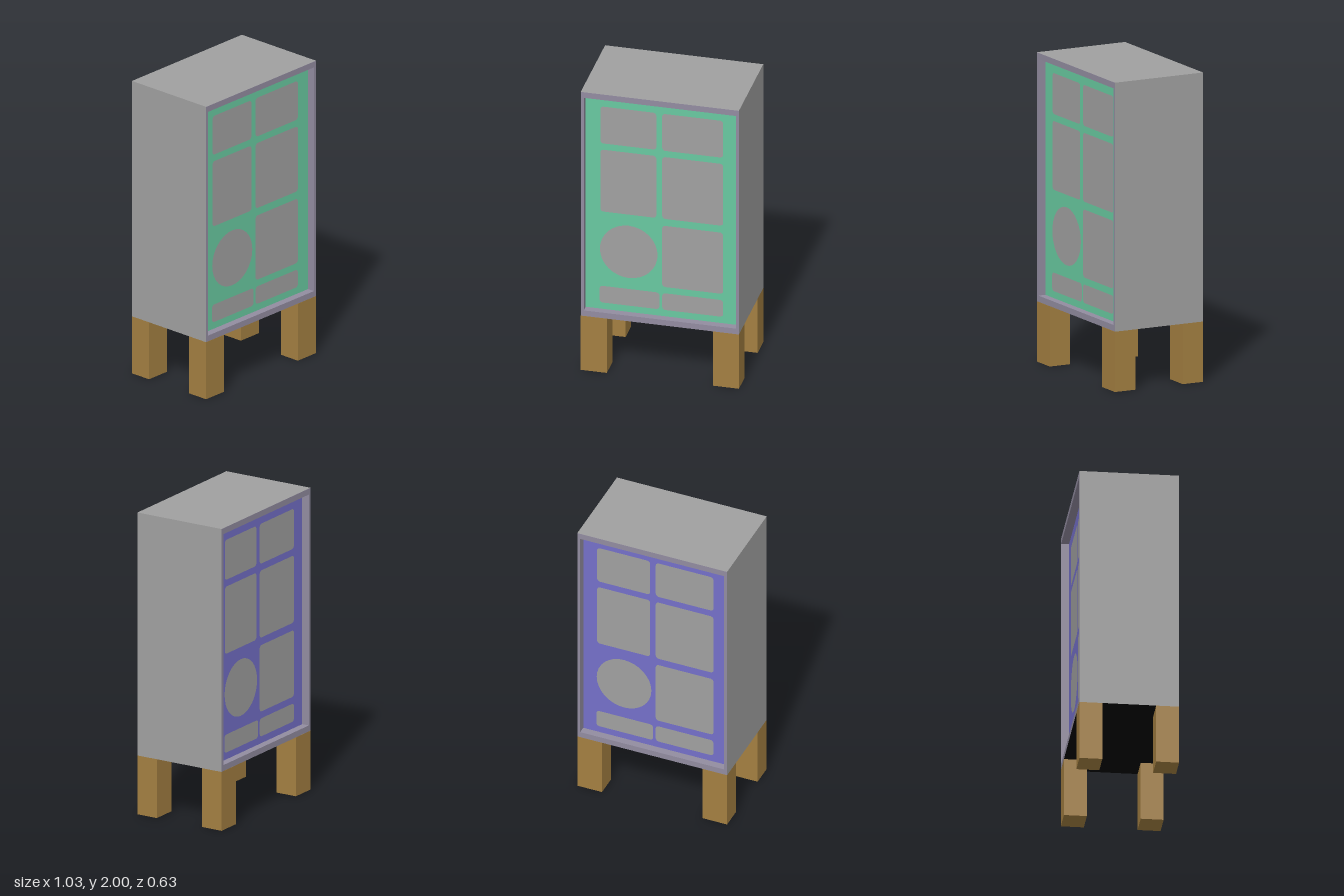
import * as THREE from 'three';

const W = 1.03, D = 0.634, BOTTOM = 0.39, TOP = 2, RECESS = 0.05;

const colour = (name, hex) => {
  const m = new THREE.MeshStandardMaterial({ color: hex });
  m.name = name;
  return m;
};

function roundedRect(x0, x1, y0, y1, r, target = new THREE.Shape()) {
  target.moveTo(x0 + r, y0);
  target.absarc(x1 - r, y0 + r, r, -Math.PI / 2, 0, false);
  target.absarc(x1 - r, y1 - r, r, 0, Math.PI / 2, false);
  target.absarc(x0 + r, y1 - r, r, Math.PI / 2, Math.PI, false);
  target.absarc(x0 + r, y0 + r, r, Math.PI, Math.PI * 1.5, false);
  return target;
}

function rect(x0, x1, y0, y1) {
  return new THREE.Shape([[x0, y0], [x1, y0], [x1, y1], [x0, y1]].map(p => new THREE.Vector2(...p)));
}

// Door windows: left x, right x, bottom y, top y
const WINDOWS = [
  [-0.40, -0.035, 1.62, 1.885], [0.003, 0.40, 1.62, 1.885],
  [-0.40, -0.035, 1.13, 1.575], [0.003, 0.40, 1.13, 1.575],
  [0.003, 0.40, 0.64, 1.08],
  [-0.405, -0.015, 0.475, 0.595], [0.003, 0.40, 0.475, 0.595],
];

function windowShapes() {
  const shapes = WINDOWS.map(w => roundedRect(...w, 0.022));
  const round = new THREE.Shape();
  round.absarc(-0.215, 0.862, 0.188, 0, Math.PI * 2, false);
  return [...shapes, round];
}

export function createModel() {
  const grey = colour('casing grey', 0xa0a0a0);
  const rim = colour('rim mauve', 0x928ca0);
  const green = colour('front panel green', 0x68c9a0);
  const blue = colour('back panel blue', 0x7470c9);
  const wood = colour('leg wood', 0xa37f41);
  const black = colour('underside black', 0x050505);

  const model = new THREE.Group();
  model.name = 'cabinet';
  const add = (name, geometry, material, parent = model) => {
    const mesh = new THREE.Mesh(geometry, material);
    mesh.name = name;
    parent.add(mesh);
    return mesh;
  };

  // Casing: sides, top and underside, open at front and back
  const casing = new THREE.BoxGeometry(W, TOP - BOTTOM, D);
  casing.groups = casing.groups.slice(0, 4);
  add('casing', casing, [grey, grey, grey, black]).position.y = (TOP + BOTTOM) / 2;

  // Each face: raised rim, recessed panel with flush windows
  const makeFace = (name, panelMaterial) => {
    const face = new THREE.Group();
    face.name = name;
    model.add(face);

    const e = 0.0005;
    const rimShape = rect(-W / 2 + e, W / 2 - e, BOTTOM + e, TOP - e);
    rimShape.holes.push(rect(-0.495, 0.495, 0.43, 1.96));
    const rimGeometry = new THREE.ExtrudeGeometry(rimShape, { depth: RECESS, bevelEnabled: false });
    add('rim', rimGeometry, rim, face).position.z = D / 2 - RECESS;

    const panelShape = rect(-0.495, 0.495, 0.43, 1.96);
    panelShape.holes.push(...windowShapes());
    add('panel', new THREE.ShapeGeometry(panelShape, 16), panelMaterial, face).position.z = D / 2 - RECESS;
    add('windows', new THREE.ShapeGeometry(windowShapes(), 16), grey, face).position.z = D / 2 - RECESS;
    return face;
  };
  makeFace('frontFace', green);
  makeFace('backFace', blue).rotation.y = Math.PI;

  // Four square-cut legs flush with the corners
  const legW = 0.17, legD = 0.146;
  const leg = new THREE.BoxGeometry(legW, BOTTOM, legD);
  for (const [zName, sz] of [['front', 1], ['back', -1]]) {
    for (const [xName, sx] of [['Left', 1], ['Right', -1]]) {
      add(`${zName}${xName}Leg`, leg, wood)
        .position.set(sx * (W - legW) / 2, BOTTOM / 2, sz * (D - legD) / 2);
    }
  }
  return model;
}
